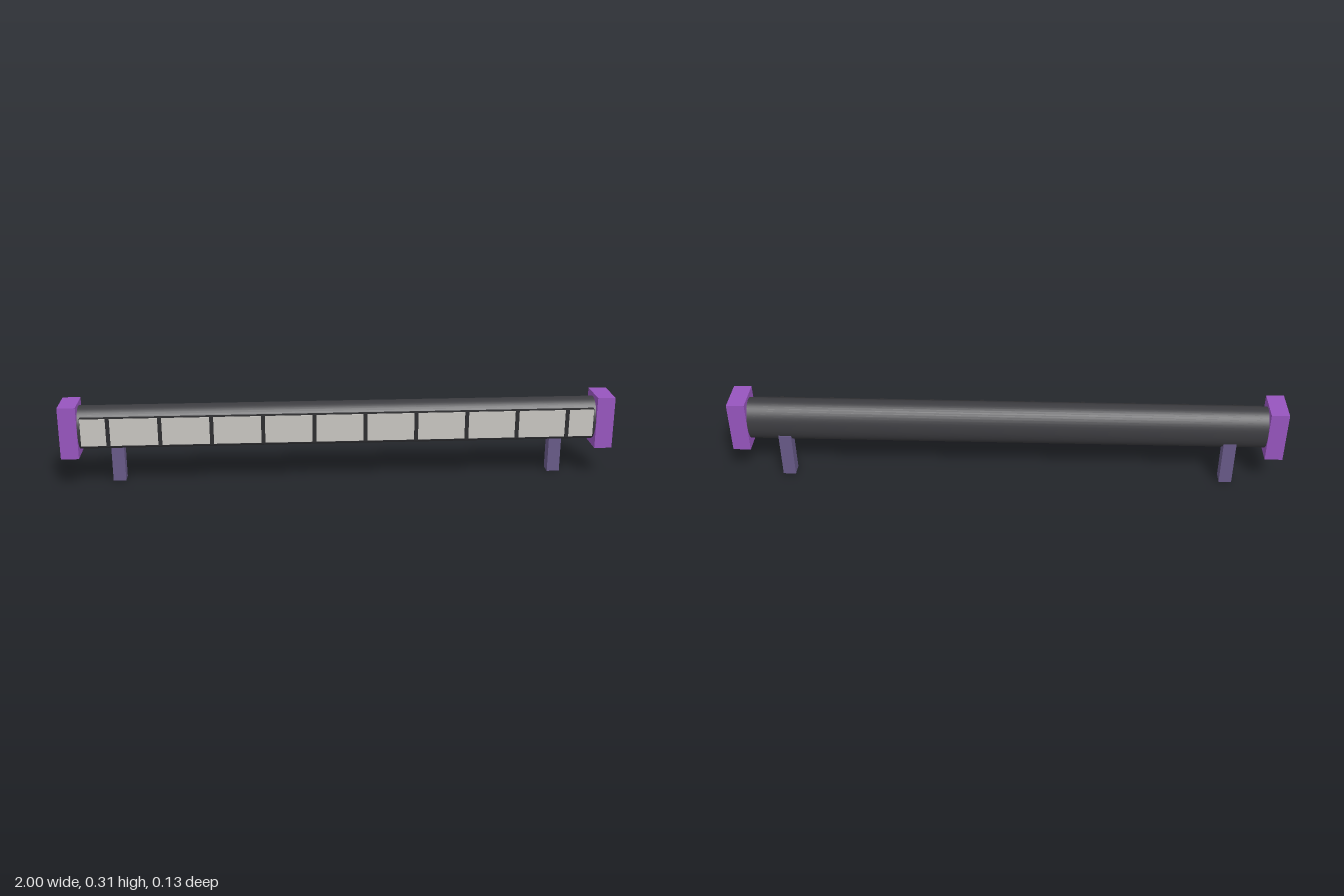
import * as THREE from 'three';

export function createModel() {
  const model = new THREE.Group();
  model.name = 'wallScreen';
  const mat = (name, color) => {
    const m = new THREE.MeshStandardMaterial({ color });
    m.name = name;
    return m;
  };
  const purple = mat('purple', 0x9755be);
  const slate = mat('slatePurple', 0x685a88);
  const charcoal = mat('charcoal', 0x3c3c40);
  const dark = mat('darkTrim', 0x2c2c2f);
  const pale = mat('paleGrey', 0xc8c5c1);

  // Box given by its lower and upper corners
  const box = (name, material, [x0, y0, z0], [x1, y1, z1]) => {
    const mesh = new THREE.Mesh(new THREE.BoxGeometry(x1 - x0, y1 - y0, z1 - z0), material);
    mesh.position.set((x0 + x1) / 2, (y0 + y1) / 2, (z0 + z1) / 2);
    mesh.name = name;
    model.add(mesh);
  };

  // Long oval tube between the end caps
  const tube = new THREE.CylinderGeometry(1, 1, 1.9, 48);
  tube.rotateZ(Math.PI / 2);
  tube.scale(1, 0.08, 0.061);
  const body = new THREE.Mesh(tube, charcoal);
  body.position.set(0, 0.214, -0.001);
  body.name = 'body';
  model.add(body);

  // End caps and legs, mirrored
  for (const s of [-1, 1]) {
    const side = s > 0 ? 'left' : 'right';
    box(side + 'Cap', purple, [s * 0.968 - 0.032, 0.115, -0.065], [s * 0.968 + 0.032, 0.307, 0.065]);
    box(side + 'Leg', slate, [s * 0.807 - 0.023, 0, -0.055], [s * 0.807 + 0.023, 0.17, -0.008]);
  }

  // Front strip: dark backing, pale face and raised dividers
  box('stripBacking', dark, [-0.926, 0.16, 0.03], [0.926, 0.265, 0.061]);
  box('stripFace', pale, [-0.925, 0.162, 0.058], [0.925, 0.263, 0.063]);
  for (let i = 0; i < 10; i++) {
    const x = (i - 4.5) * 0.184;
    box('divider', dark, [x - 0.007, 0.16, 0.055], [x + 0.007, 0.265, 0.066]);
  }
  return model;
}
